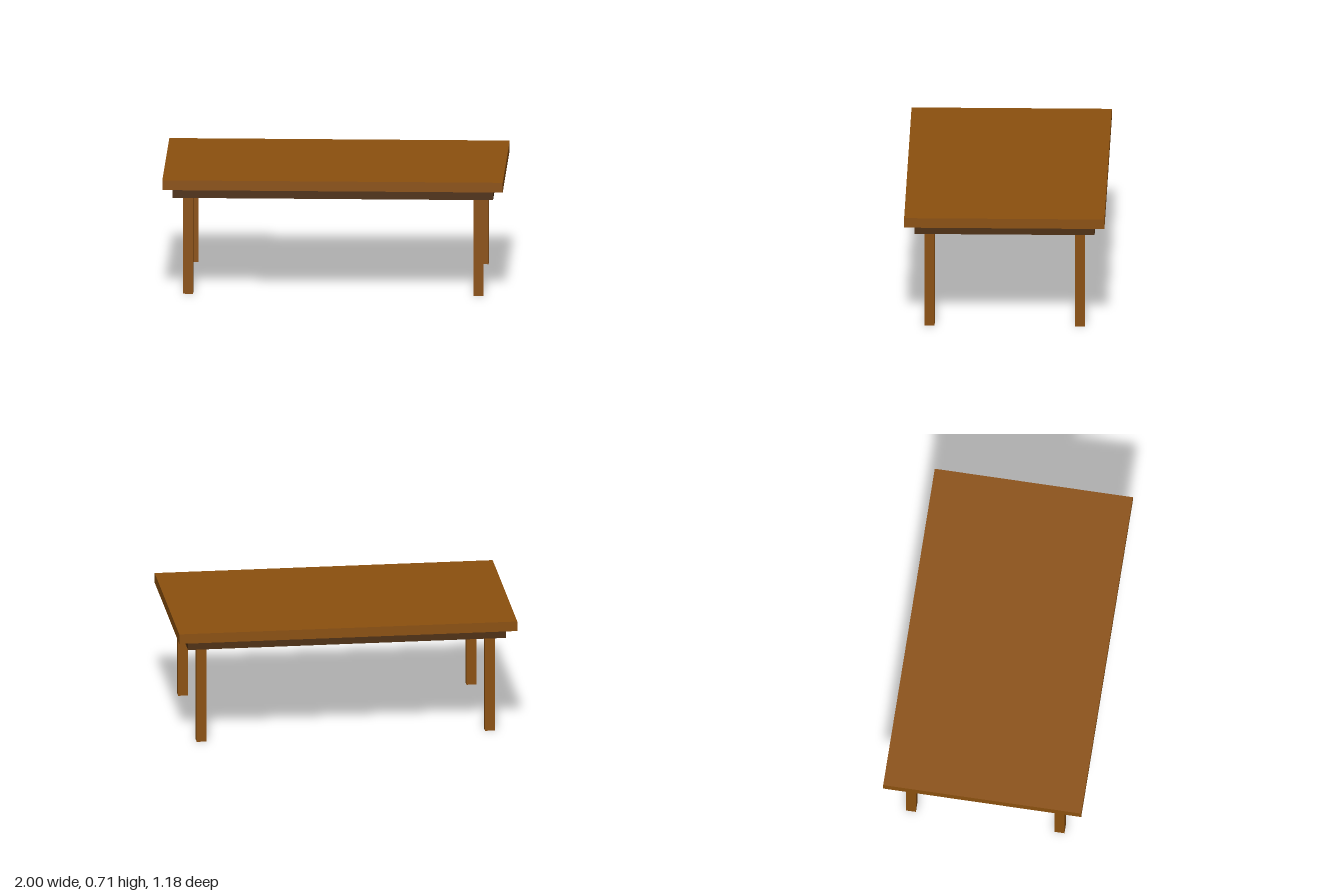
import * as THREE from 'three';

export function createModel() {
  const table = new THREE.Group();
  table.name = 'table';

  const wood = new THREE.MeshStandardMaterial({ color: 0x8b500e });
  wood.name = 'brown wood';
  const darkWood = new THREE.MeshStandardMaterial({ color: 0x4e2f10 });
  darkWood.name = 'dark wood';

  const unit = 1 / 17; // thickness of the boards and legs

  // Adds a box whose underside is at height y
  function addBox(name, material, width, height, depth, x, y, z) {
    const mesh = new THREE.Mesh(new THREE.BoxGeometry(width, height, depth), material);
    mesh.name = name;
    mesh.position.set(x, y + height / 2, z);
    table.add(mesh);
  }

  // Top and the inset slab beneath it
  addBox('tabletop', wood, 2, unit, 20 * unit, 0, 11 * unit, 0);
  addBox('apron', darkWood, 32 * unit, unit, 18 * unit, 0, 10 * unit, 0);

  // Four square legs
  for (const [xName, x] of [['Left', 1], ['Right', -1]]) {
    for (const [zName, z] of [['front', 1], ['back', -1]]) {
      addBox(`${zName}${xName}Leg`, wood, unit, 10 * unit, unit, x * 14.5 * unit, 0, z * 7.5 * unit);
    }
  }

  return table;
}
